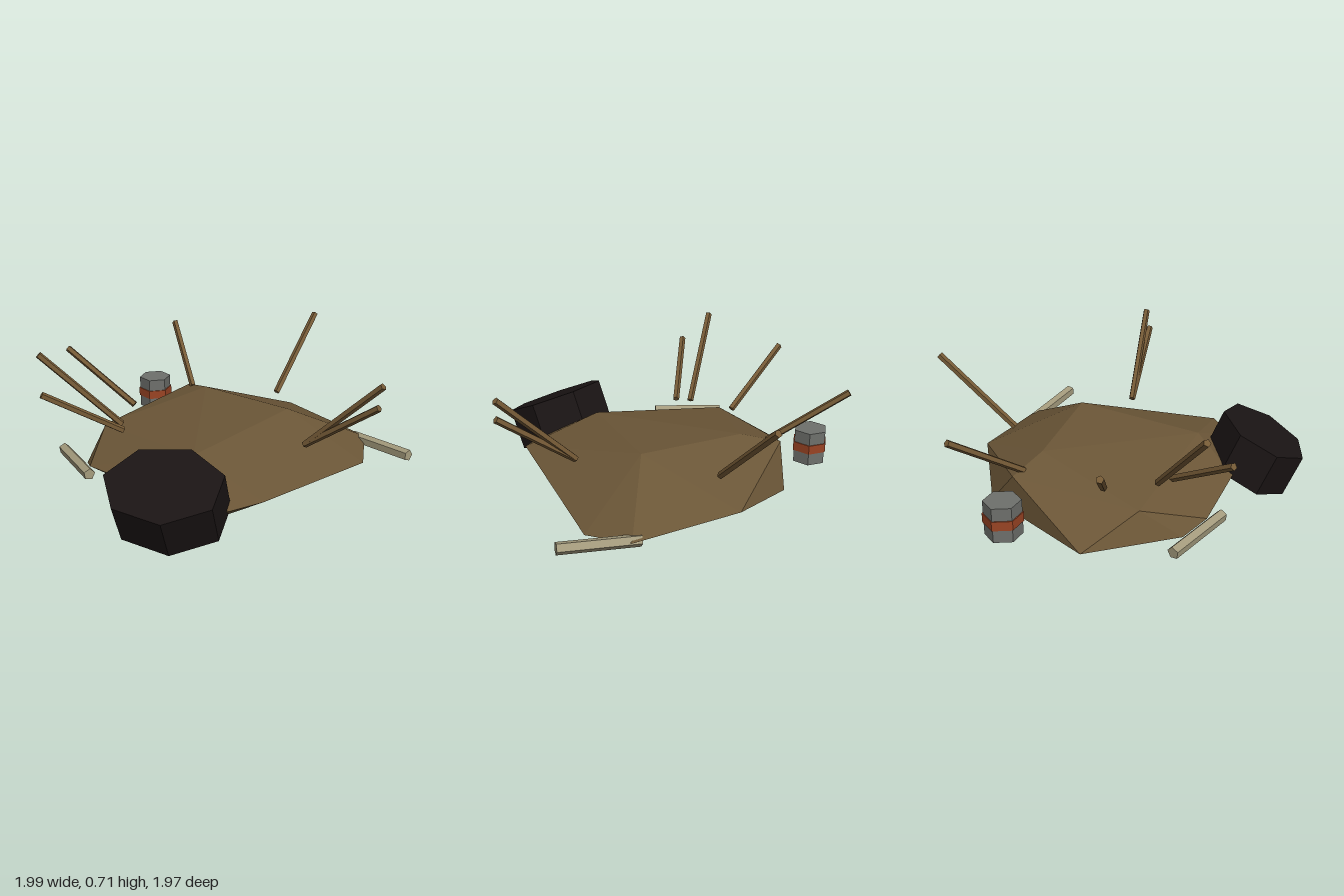
import * as THREE from 'three';
import { ConvexGeometry } from 'three/addons/geometries/ConvexGeometry.js';

const V = (p) => new THREE.Vector3(...p);
const paint = (color) => new THREE.MeshStandardMaterial({ color, flatShading: true });

function add(parent, name, geometry, material) {
  const mesh = new THREE.Mesh(geometry, material);
  mesh.name = name;
  parent.add(mesh);
  return mesh;
}

// A straight prism running from point a to point b
function rod(parent, name, a, b, radius, sides, material) {
  const from = V(a), to = V(b);
  const axis = to.clone().sub(from);
  const mesh = add(parent, name, new THREE.CylinderGeometry(radius, radius, axis.length(), sides), material);
  mesh.position.copy(from).add(to).multiplyScalar(0.5);
  mesh.quaternion.setFromUnitVectors(new THREE.Vector3(0, 1, 0), axis.normalize());
  return mesh;
}

export function createModel() {
  const model = new THREE.Group();
  model.name = 'debrisHeap';

  const earth = paint(0x6b5637);
  const wood = paint(0x755a36);
  const pale = paint(0xa39a7c);
  const black = paint(0x1a1414);
  const metal = paint(0x6e706c);
  const rust = paint(0x9a4424);

  // Faceted mound: crown, shoulder and flat base
  const moundPoints = [
    [-0.24, 0.335, -0.42], [0.31, 0.35, -0.20], [-0.02, 0.30, 0.42],
    [-0.40, 0.28, -0.57], [0.20, 0.165, -0.74], [0.70, 0.12, -0.48],
    [0.39, 0.185, 0.58], [0.24, 0.15, 0.66], [-0.27, 0.17, 0.57],
    [-0.62, 0.13, 0.38], [-0.68, 0.225, 0.04],
    [0.74, 0.08, -0.21], [0.15, 0.08, 0.64], [-0.70, 0.08, 0.25],
    [-0.81, 0.08, -0.25], [-0.27, 0.08, -0.69],
  ];
  add(model, 'mound', new ConvexGeometry(moundPoints.map(V)), earth);

  // Tilted seven-sided drum leaning on the front of the mound
  const drumGeometry = new THREE.CylinderGeometry(0.305, 0.305, 0.234, 7);
  drumGeometry.rotateY(-Math.PI / 2);
  const drum = add(model, 'drum', drumGeometry, black);
  drum.scale.z = 0.78;
  drum.rotation.x = 0.41;
  drum.position.set(-0.045, 0.203, 0.73);

  // Six-sided can with a coloured band
  const can = new THREE.Group();
  can.name = 'can';
  can.position.set(-0.64, 0.197, -0.61);
  add(can, 'canBody', new THREE.CylinderGeometry(0.094, 0.094, 0.186, 6), metal);
  add(can, 'canBand', new THREE.CylinderGeometry(0.1, 0.1, 0.05, 6), rust);
  model.add(can);

  // Sticks poking outward: base, tip
  const sticks = [
    [[0.15, 0.29, -0.575], [0.28, 0.675, -0.97]],
    [[-0.355, 0.29, -0.515], [-0.59, 0.575, -0.85]],
    [[-0.57, 0.295, -0.125], [-0.99, 0.58, -0.16]],
    [[-0.53, 0.29, 0.145], [-0.915, 0.70, 0.31]],
    [[-0.49, 0.29, 0.22], [-0.835, 0.535, 0.45]],
    [[0.475, 0.29, 0.10], [0.87, 0.70, 0.22]],
    [[0.475, 0.29, 0.10], [0.86, 0.595, 0.24]],
  ];
  sticks.forEach(([a, b], i) => rod(model, `stick${i + 1}`, a, b, 0.019, 5, wood));

  // Pale bars lying at the foot of the mound
  rod(model, 'leftBar', [0.635, 0.11, -0.48], [0.975, 0.135, -0.26], 0.032, 5, pale);
  rod(model, 'rightBar', [-0.875, 0.11, 0.18], [-0.585, 0.125, 0.46], 0.032, 5, pale);

  return model;
}
